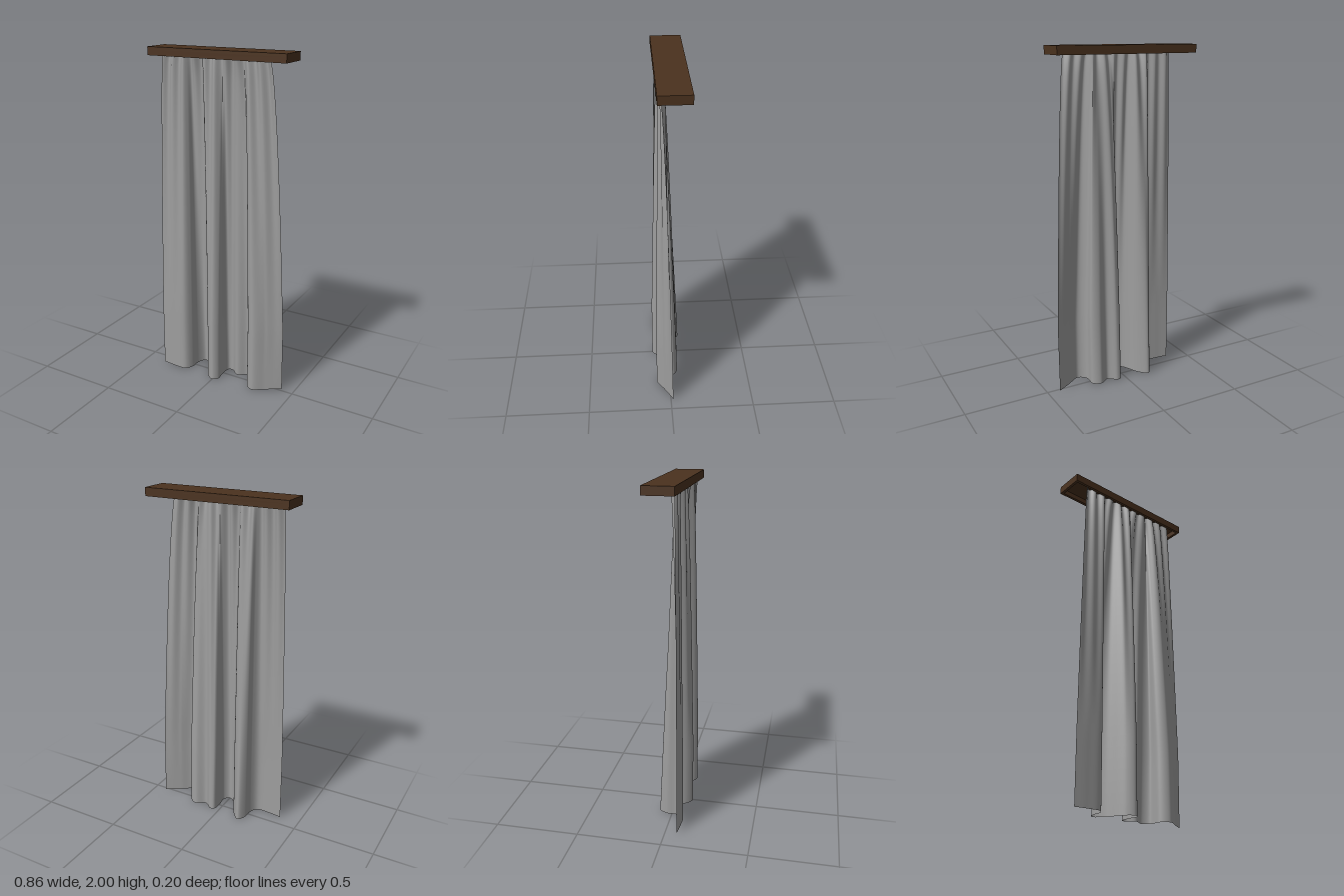
import * as THREE from 'three';

const wood = new THREE.MeshStandardMaterial({ color: 0x4b321e });
wood.name = 'dark wood';
const cloth = new THREE.MeshStandardMaterial({ color: 0x9e9e9e, side: THREE.DoubleSide });
cloth.name = 'grey cloth';

// Folds from one edge to the other: [x at the top, x at the hem, z at the hem]
const folds = [
  [-0.34, -0.375, 0.068], [-0.28, -0.30, 0.075], [-0.21, -0.215, 0.073], [-0.19, -0.185, 0.03],
  [-0.175, -0.18, -0.035], [-0.14, -0.15, -0.08], [-0.105, -0.1, -0.035], [-0.07, -0.045, 0.07],
  [-0.02, 0.0, 0.098], [0.02, 0.03, 0.07], [0.04, 0.025, 0.01], [0.055, 0.035, -0.055],
  [0.08, 0.06, -0.06], [0.105, 0.11, -0.025], [0.13, 0.17, -0.055], [0.15, 0.215, -0.03],
  [0.165, 0.218, 0.045], [0.2, 0.265, 0.08], [0.26, 0.34, 0.035], [0.33, 0.425, -0.015],
];

function buildCurtain() {
  const topY = 1.97, topZ = 0.04, cols = 190, rows = 32;
  const hem = new THREE.CatmullRomCurve3(folds.map(([, x, z]) => new THREE.Vector3(x, 0, z)));
  const top = new THREE.CatmullRomCurve3(folds.map(([x]) => new THREE.Vector3(x, topY, topZ)));
  const geo = new THREE.PlaneGeometry(1, 1, cols, rows);
  const pos = geo.attributes.position;
  const a = new THREE.Vector3(), b = new THREE.Vector3();
  for (let j = 0; j <= rows; j++) {
    const drop = j / rows;
    // The spread and the front folds are fully open above the hem, the back folds at the hem
    const backOpen = Math.pow(drop, 0.65);
    const frontOpen = Math.pow(Math.min(1, drop / 0.8), 0.65);
    for (let i = 0; i <= cols; i++) {
      const s = i / cols;
      top.getPoint(s, a);
      hem.getPoint(s, b);
      const open = b.z > topZ ? frontOpen : backOpen;
      // Tight gathers at the heading fade out downwards
      a.z += 0.014 * Math.cos((a.x + 0.34) * Math.PI * 2 * 15);
      pos.setXYZ(j * (cols + 1) + i,
        THREE.MathUtils.lerp(a.x, b.x, frontOpen),
        topY * (1 - drop),
        THREE.MathUtils.lerp(a.z, b.z, open));
    }
  }
  geo.computeVertexNormals();
  const mesh = new THREE.Mesh(geo, cloth);
  mesh.name = 'curtain';
  return mesh;
}

// Shallow box, open underneath
function buildPelmet() {
  const pelmet = new THREE.Group();
  pelmet.name = 'pelmet';
  const board = (name, w, h, d, x, y, z) => {
    const m = new THREE.Mesh(new THREE.BoxGeometry(w, h, d), wood);
    m.name = name;
    m.position.set(x, y, z);
    pelmet.add(m);
  };
  const t = 0.016, h = 0.048, zc = -0.014, depth = 0.172, width = 0.86;
  const wallH = h - t, wallY = 2 - h + wallH / 2;
  board('topBoard', width, t, depth, 0, 2 - t / 2, zc);
  for (const s of [1, -1]) {
    board(s > 0 ? 'frontBoard' : 'backBoard', width, wallH, t, 0, wallY, zc + s * (depth - t) / 2);
    board(s > 0 ? 'leftEnd' : 'rightEnd', t, wallH, depth - 2 * t, s * (width - t) / 2, wallY, zc);
  }
  return pelmet;
}

export function createModel() {
  const model = new THREE.Group();
  model.name = 'curtainWithPelmet';
  model.add(buildPelmet(), buildCurtain());
  return model;
}
